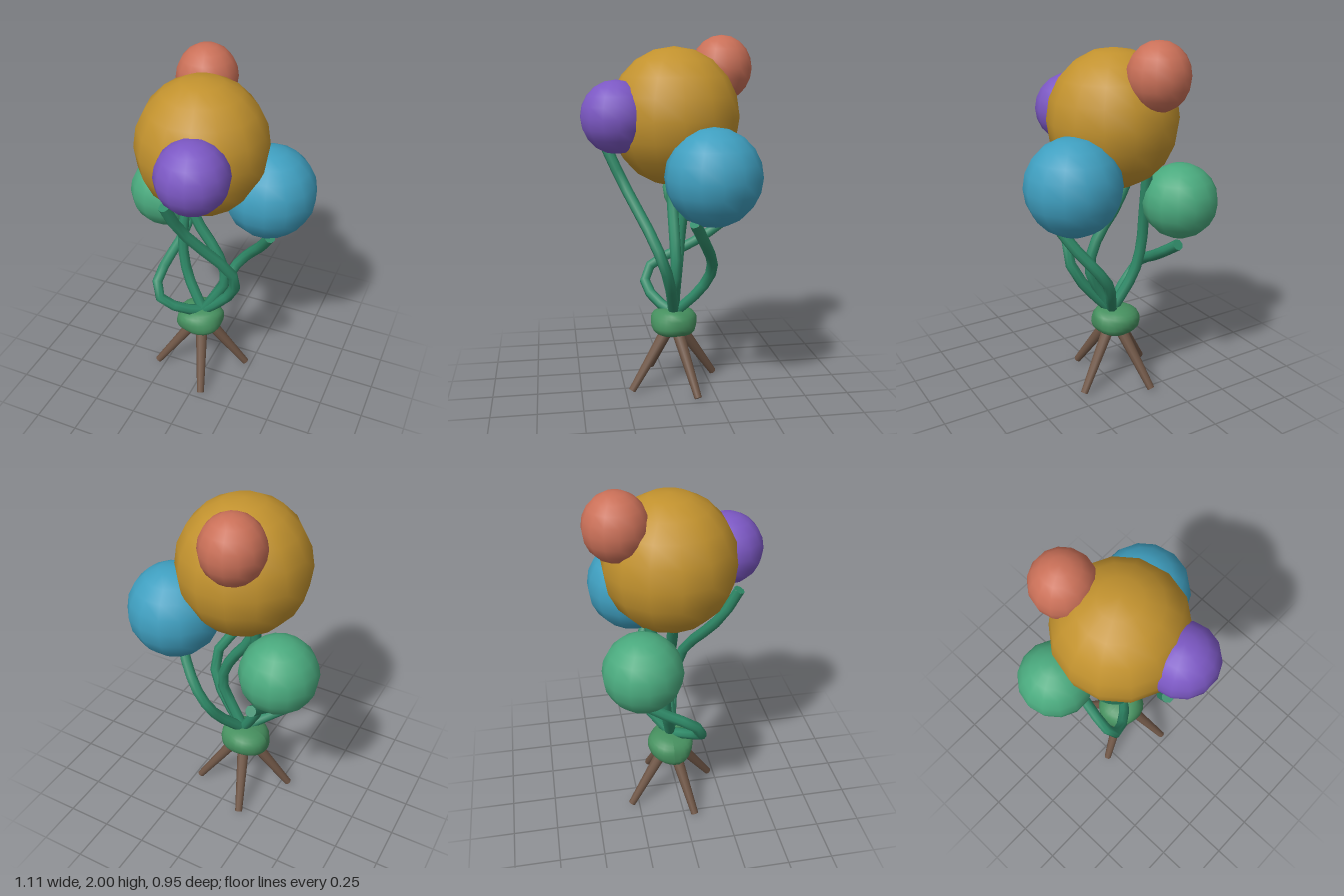
import * as THREE from 'three';

const mat = (color) => new THREE.MeshStandardMaterial({ color });
const V = (p) => new THREE.Vector3(...p);

export function createModel() {
  const group = new THREE.Group();
  const add = (name, geometry, material, parent = group) => {
    const mesh = new THREE.Mesh(geometry, material);
    mesh.name = name;
    parent.add(mesh);
    return mesh;
  };

  // Globes: centre, horizontal radius, vertical radius, colour
  const globes = {
    goldGlobe: [[-0.035, 1.565, -0.04], 0.357, 0.375, 0xc2922e],
    purpleGlobe: [[0.052, 1.575, 0.283], 0.193, 0.195, 0x7c58c4],
    blueGlobe: [[0.296, 1.28, -0.195], 0.257, 0.26, 0x3f9fc0],
    greenGlobe: [[-0.345, 1.11, -0.235], 0.211, 0.21, 0x4aaa7e],
    redGlobe: [[-0.127, 1.82, -0.32], 0.168, 0.18, 0xca7058],
  };
  for (const [name, [centre, r, ry, color]] of Object.entries(globes)) {
    const globe = add(name, new THREE.SphereGeometry(1, 14, 10), mat(color));
    globe.position.set(...centre);
    globe.scale.set(r, ry, r);
  }

  // Winding stems, all rising from the knot
  const stemMat = mat(0x2f8a68);
  const stems = {
    purpleStem: [[0.09, 0.57, -0.01], [0.18, 0.7, 0.02], [0.205, 0.83, 0.065],
      [0.15, 0.94, 0.11], [0.05, 1.07, 0.175], [-0.045, 1.22, 0.25], [-0.085, 1.39, 0.325]],
    blueStem: [[0.05, 0.58, -0.16], [0.1, 0.69, -0.22], [0.17, 0.79, -0.22],
      [0.27, 0.92, -0.16], [0.345, 1.05, -0.09]],
    greenStem: [[-0.14, 0.5, 0.06], [-0.25, 0.58, 0.1], [-0.28, 0.66, 0.06],
      [-0.265, 0.75, -0.1], [-0.24, 0.83, -0.24], [-0.25, 0.91, -0.36]],
    goldStem: [[0.05, 0.58, -0.03], [0.105, 0.69, -0.03], [0.105, 0.79, -0.03],
      [0.05, 0.92, -0.03], [-0.05, 1.06, -0.035], [-0.13, 1.22, -0.04]],
    redStem: [[-0.1, 0.56, -0.06], [-0.15, 0.66, -0.08], [-0.185, 0.83, -0.1],
      [-0.185, 1.0, -0.12], [-0.175, 1.15, -0.15], [-0.17, 1.28, -0.17]],
  };
  for (const [name, points] of Object.entries(stems)) {
    const stem = new THREE.Group();
    stem.name = name;
    group.add(stem);
    const curve = new THREE.CatmullRomCurve3([[-0.03, 0.44, -0.04], ...points].map(V));
    add('stemTube', new THREE.TubeGeometry(curve, 9, 0.031, 8), stemMat, stem);
    const cap = add('stemEnd', new THREE.CircleGeometry(0.031, 8), stemMat, stem);
    cap.position.copy(curve.getPoint(1));
    cap.lookAt(cap.position.clone().add(curve.getTangent(1)));
  }

  // Lumpy knot binding the stems
  const knotGeo = new THREE.SphereGeometry(1, 24, 16);
  const pos = knotGeo.attributes.position;
  for (let i = 0; i < pos.count; i++) {
    const p = new THREE.Vector3().fromBufferAttribute(pos, i);
    const lump = 1 + 0.07 * Math.sin(3 * p.x + 2 * p.z + 1) * Math.cos(3 * p.y - 2 * p.z);
    const flat = Math.sign(p.y) * Math.pow(Math.abs(p.y), 0.8);
    pos.setXYZ(i, p.x * 0.148 * lump, (flat * 0.09 + p.x * 0.016) * lump, p.z * 0.132 * lump);
  }
  knotGeo.computeVertexNormals();
  add('knot', knotGeo, mat(0x46905f)).position.set(-0.053, 0.38, -0.042);

  // Four splayed, tapering roots, each a quarter turn from the next
  const rootMat = mat(0x6f5646);
  const up = new THREE.Vector3(0, 1, 0);
  for (let i = 0; i < 4; i++) {
    const foot = new THREE.Vector3(0.1, 0.016, 0.255).applyAxisAngle(up, (i * Math.PI) / 2);
    const top = new THREE.Vector3(foot.x * 0.06, 0.38, foot.z * 0.06);
    const dir = top.clone().sub(foot);
    const root = add('root', new THREE.CylinderGeometry(0.037, 0.021, dir.length(), 10), rootMat);
    root.quaternion.setFromUnitVectors(up, dir.clone().normalize());
    root.position.copy(foot).add(top).multiplyScalar(0.5).add(V([-0.04, 0, -0.04]));
  }
  return group;
}
